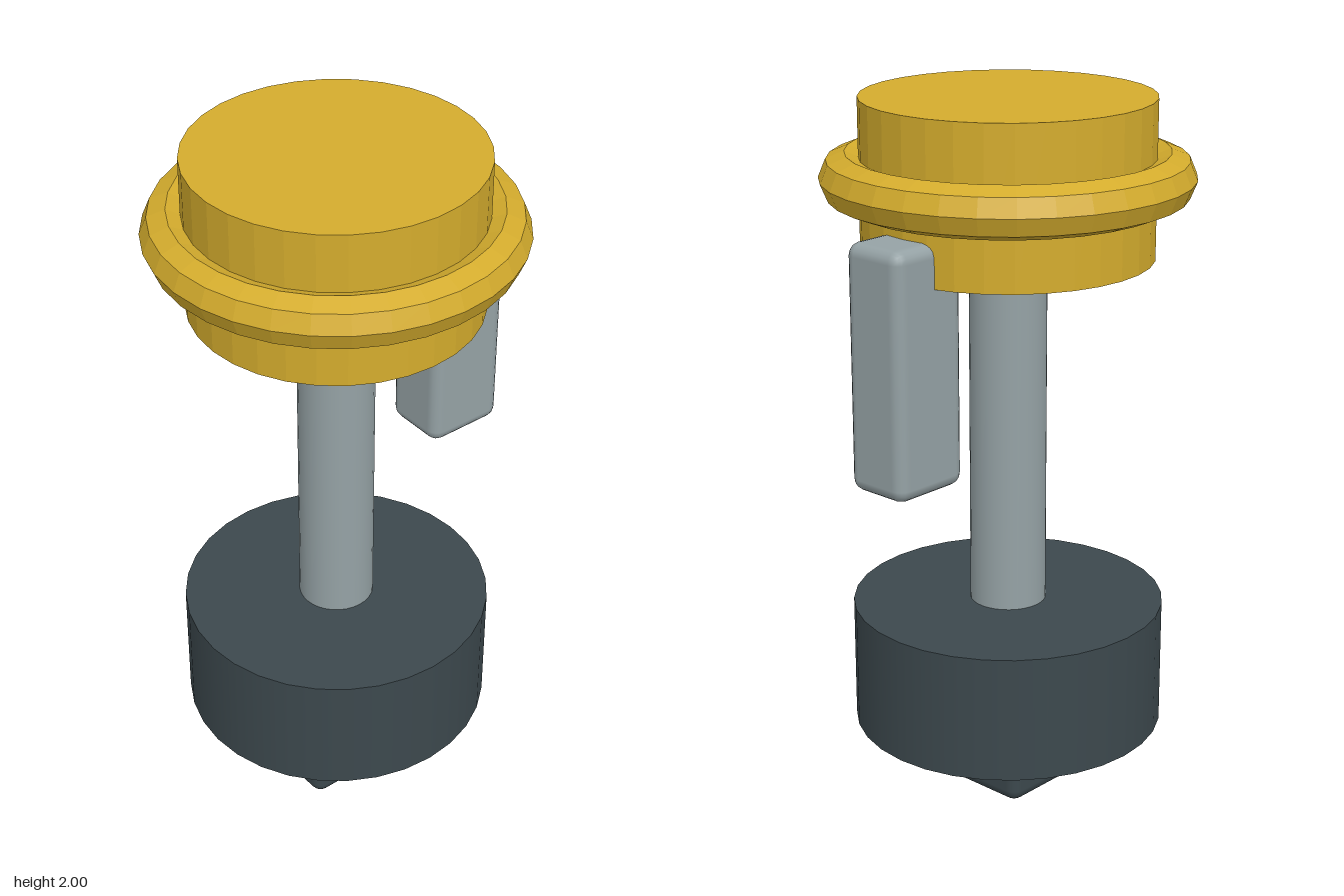
import * as THREE from 'three';
import { RoundedBoxGeometry } from 'three/addons/geometries/RoundedBoxGeometry.js';

export function createModel() {
  const group = new THREE.Group();
  const material = (name, color, flatShading = false) =>
    Object.assign(new THREE.MeshStandardMaterial({ color, flatShading }), { name });
  const gold = material('gold', 0xd4ac2d, true);
  const steel = material('steel grey', 0x95a2a5);
  const dark = material('dark slate', 0x3c484d);

  const add = (name, geometry, mat, y, z = 0.004) => {
    const mesh = new THREE.Mesh(geometry, mat);
    mesh.name = name;
    mesh.position.set(0, y, z);
    group.add(mesh);
    return mesh;
  };
  // Upright cylinder between two heights
  const drum = (name, radius, bottom, top, mat) =>
    add(name, new THREE.CylinderGeometry(radius, radius, top - bottom, 32), mat, (bottom + top) / 2);

  // Foot: square pad under a heavy round base
  add('footPad', new RoundedBoxGeometry(0.64, 0.16, 0.64, 2, 0.035), dark, 0.08);
  drum('base', 0.468, 0.09, 0.472, dark);

  // Central shaft
  drum('shaft', 0.114, 0.46, 1.545, steel);

  // Cap with a faceted ring around it
  drum('cap', 0.425, 1.535, 2, gold);
  const ring = add('capRing', new THREE.TorusGeometry(0.465, 0.075, 8, 32), gold, 1.77);
  ring.rotation.x = -Math.PI / 2;

  // Tab hanging behind the cap
  add('rearTab', new RoundedBoxGeometry(0.21, 0.72, 0.256, 2, 0.038), steel, 1.3, -0.418);

  return group;
}
